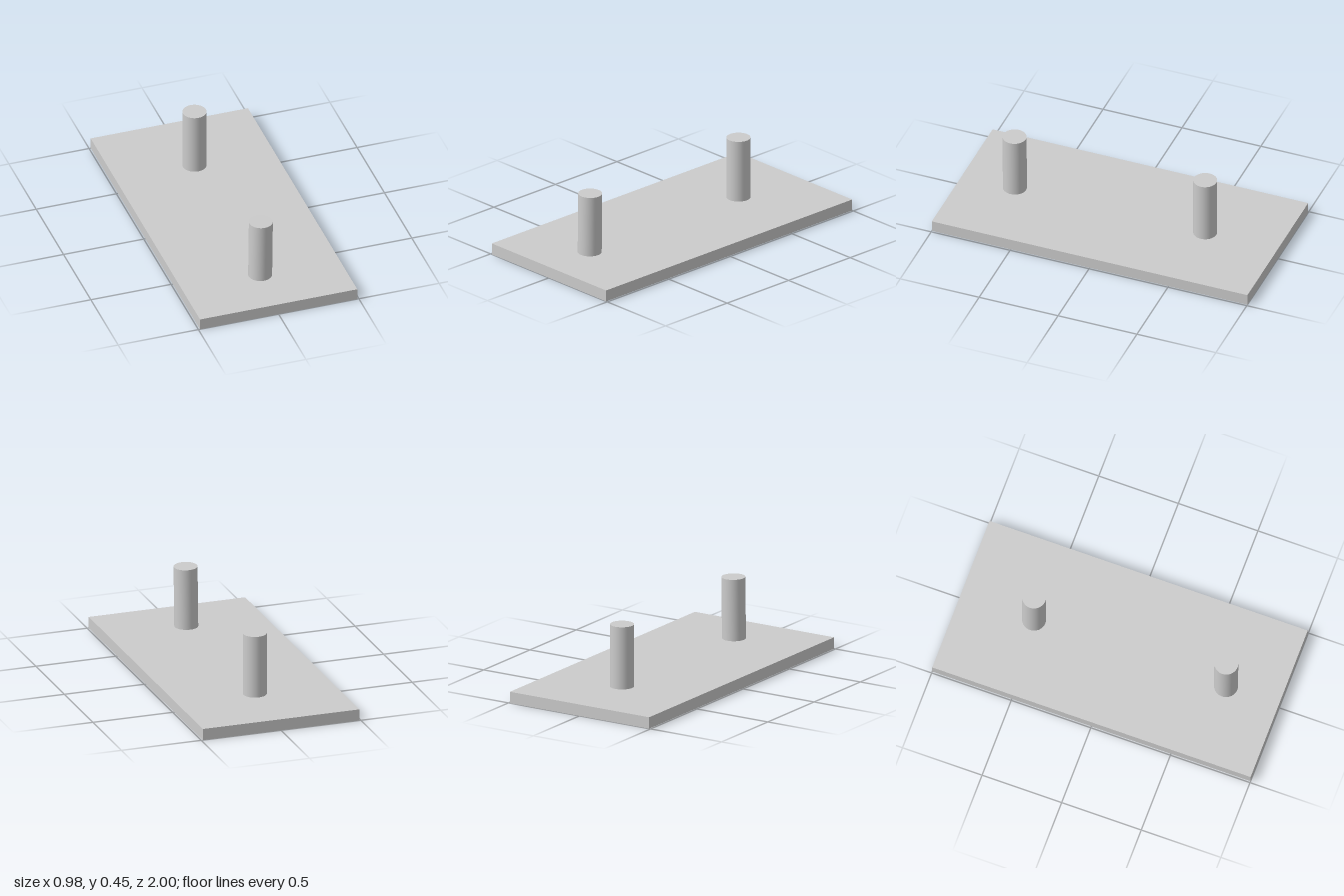
import * as THREE from 'three';

export function createModel() {
  const group = new THREE.Group();
  const material = new THREE.MeshStandardMaterial({ color: 0xcccccc });
  const plateTop = 0.07;
  const sunk = 0.02; // peg length hidden inside the plate

  // Flat rectangular base
  const plate = new THREE.Mesh(new THREE.BoxGeometry(0.98, plateTop, 2), material);
  plate.name = 'basePlate';
  plate.position.y = plateTop / 2;
  group.add(plate);

  // Upright round peg, pivoting where it meets the plate
  function addPeg(name, x, z, top, lean) {
    const height = top - plateTop + sunk;
    const geometry = new THREE.CylinderGeometry(0.071, 0.071, height, 48);
    geometry.translate(0, height / 2 - sunk, 0);
    const peg = new THREE.Mesh(geometry, material);
    peg.name = name;
    peg.position.set(x, plateTop, z);
    peg.rotation.z = lean;
    group.add(peg);
  }

  addPeg('backPeg', 0, -0.54, 0.452, 0);
  addPeg('frontPeg', -0.002, 0.667, 0.446, -0.012); // leans very slightly to +x

  return group;
}
